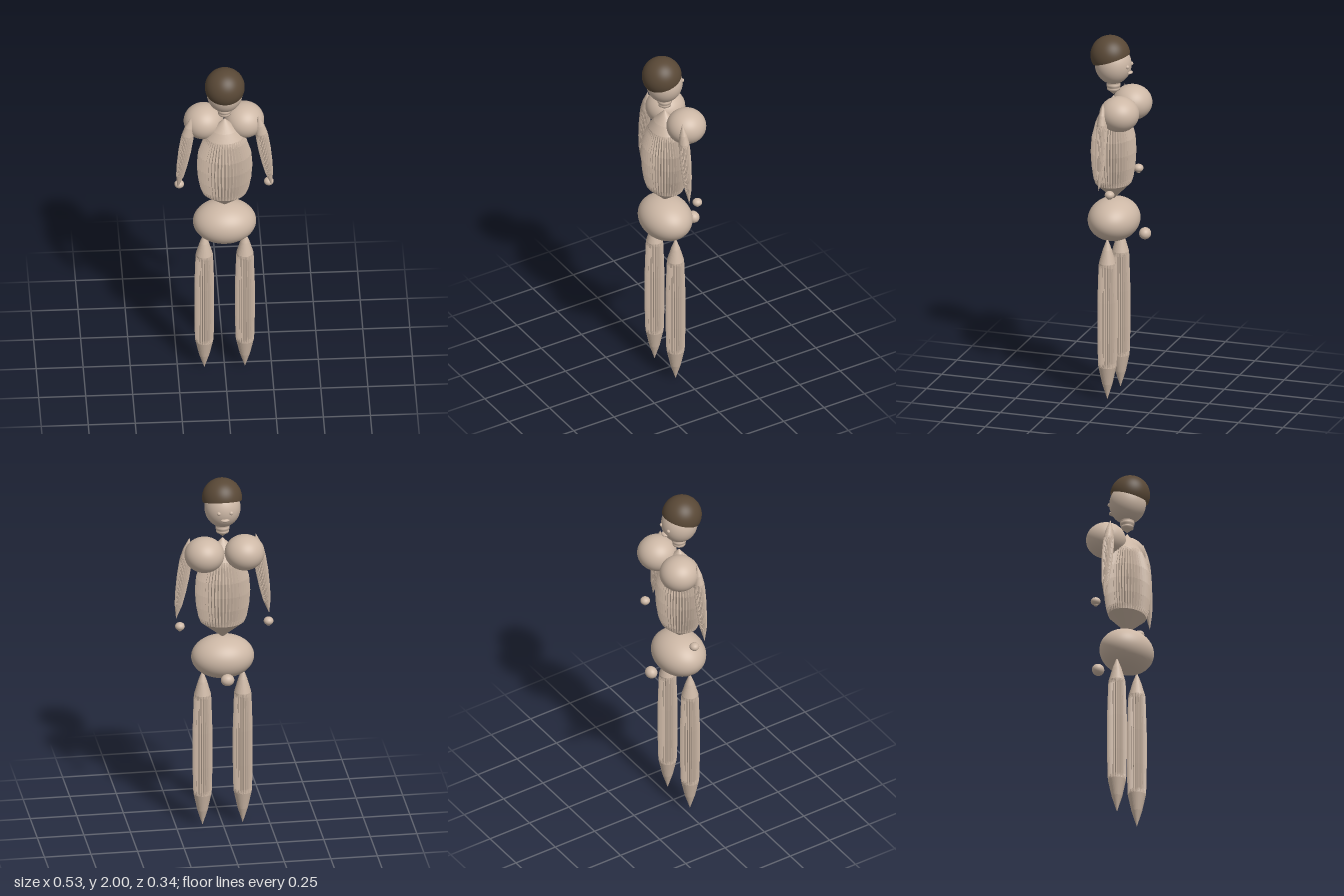
import * as THREE from 'three';

const skin = new THREE.MeshStandardMaterial({ color: 0xcdb8a6 });
skin.name = 'skin';
const hairBrown = new THREE.MeshStandardMaterial({ color: 0x594836, side: THREE.DoubleSide });
hairBrown.name = 'hairBrown';

const Z = 0.036; // depth of the body axis

// Spindle whose cross-section is a fine star; rows are [y, radius, groove depth]
function flutedSpindle(rows, flutes, depthScale = 1) {
  const n = flutes * 2;
  const pos = [];
  const point = ([y, r, groove], j) => {
    const a = (j / n) * Math.PI * 2;
    const q = r * (j % 2 ? 1 - groove : 1);
    return [q * Math.sin(a), y, q * Math.cos(a) * depthScale];
  };
  for (let i = 0; i < rows.length - 1; i++) {
    for (let j = 0; j < n; j++) {
      const a = point(rows[i], j), b = point(rows[i], j + 1);
      const c = point(rows[i + 1], j + 1), d = point(rows[i + 1], j);
      if (rows[i][1] > 0) pos.push(...a, ...b, ...c);
      if (rows[i + 1][1] > 0) pos.push(...a, ...c, ...d);
      else if (rows[i][1] === 0) pos.push(...a, ...c, ...d);
    }
  }
  const g = new THREE.BufferGeometry();
  g.setAttribute('position', new THREE.Float32BufferAttribute(pos, 3));
  g.computeVertexNormals();
  return g;
}

export function createModel() {
  const model = new THREE.Group();
  model.name = 'figure';

  const add = (name, geometry, x, y, z, material = skin) => {
    const mesh = new THREE.Mesh(geometry, material);
    mesh.name = name;
    mesh.position.set(x, y, z);
    model.add(mesh);
    return mesh;
  };
  const ellipsoid = (name, x, y, z, rx, ry, rz, detail = 32) => {
    const mesh = add(name, new THREE.SphereGeometry(1, detail * 2, detail), x, y, z);
    mesh.scale.set(rx, ry, rz);
    return mesh;
  };

  // Head and tilted cap of hair
  ellipsoid('head', 0, 1.843, Z + 0.002, 0.096, 0.107, 0.098);
  const hair = add('hair',
    new THREE.SphereGeometry(0.106, 64, 32, 0, Math.PI * 2, 0, 1.77), 0, 1.894, 0.054, hairBrown);
  hair.rotation.x = 0.32;

  // Face, turned toward -z
  ellipsoid('mouth', 0, 1.807, -0.056, 0.024, 0.008, 0.015, 10);

  // Ringed neck ending in a point
  const neckProfile = [[0, 1.675], [0.022, 1.695], [0.034, 1.702], [0.034, 1.712], [0.029, 1.716],
    [0.038, 1.722], [0.038, 1.734], [0.032, 1.738], [0.038, 1.744], [0.036, 1.765]]
    .map(([r, y]) => new THREE.Vector2(r, y));
  add('neck', new THREE.LatheGeometry(neckProfile, 32), 0, 0, Z);

  // Torso with vertical grooves between smooth cones
  add('torso', flutedSpindle([
    [1.09, 0, 0], [1.185, 0.118, 0], [1.215, 0.13, 0.07], [1.28, 0.142, 0.07], [1.36, 0.148, 0.07],
    [1.44, 0.142, 0.07], [1.525, 0.116, 0.07], [1.555, 0.1, 0], [1.6, 0.067, 0], [1.67, 0, 0],
  ], 48, 0.8), 0, 0, Z);

  // Pelvis and the small ball in front of it
  ellipsoid('pelvis', 0, 0.98, 0.033, 0.168, 0.116, 0.137);
  ellipsoid('frontBall', 0, 0.915, -0.141, 0.036, 0.032, 0.032, 20);

  const armTop = new THREE.Vector3(0.178, 1.68, Z - 0.002);
  const armEnd = new THREE.Vector3(0.25, 1.21, Z - 0.002);
  const armDirection = armTop.clone().sub(armEnd).normalize();
  const armGeometry = flutedSpindle([
    [0, 0, 0], [0.06, 0.015, 0], [0.085, 0.021, 0.1], [0.16, 0.029, 0.1], [0.25, 0.034, 0.1],
    [0.33, 0.034, 0.1], [0.36, 0.032, 0], [0.41, 0.023, 0], [0.475, 0, 0],
  ], 24, 0.85);
  const legGeometry = flutedSpindle([
    [0, 0, 0], [0.09, 0.028, 0], [0.185, 0.048, 0], [0.21, 0.05, 0.1], [0.35, 0.053, 0.1],
    [0.55, 0.053, 0.1], [0.74, 0.047, 0.1], [0.765, 0.045, 0], [0.84, 0.024, 0], [0.905, 0, 0],
  ], 32);

  // Paired parts
  for (const [side, s] of [['left', 1], ['right', -1]]) {
    ellipsoid(side + 'Eye', s * 0.033, 1.846, -0.052, 0.011, 0.011, 0.011, 10);
    ellipsoid(side + 'ChestBall', s * 0.108, 1.605, -0.033, 0.106, 0.095, 0.106);
    ellipsoid(side + 'Hand', s * 0.238, 1.192, -0.023, 0.026, 0.022, 0.026, 16);
    ellipsoid(side + 'Thumb', s * 0.238, 1.173, -0.023, 0.012, 0.009, 0.012, 10);
    const arm = add(side + 'Arm', armGeometry, s * armEnd.x, armEnd.y, armEnd.z);
    arm.rotation.z = -s * Math.atan2(armDirection.x, armDirection.y);
    add(side + 'Leg', legGeometry, s * 0.108, 0, 0.034);
  }

  return model;
}
